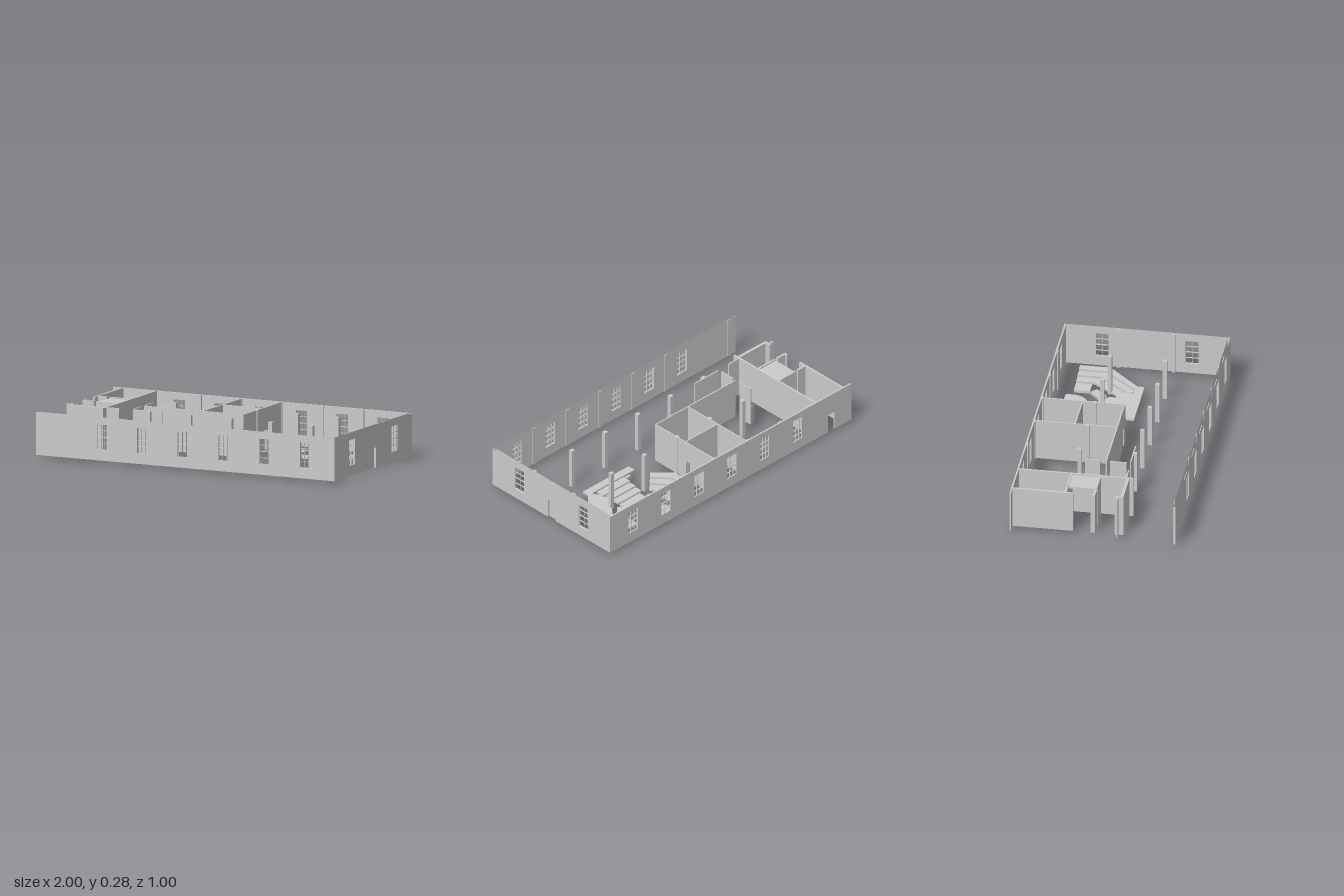
import * as THREE from 'three';

const BASE = 0.017, TOP = 0.275, DOOR = 0.14;
const mat = new THREE.MeshStandardMaterial({ color: 0xcccccc, side: THREE.DoubleSide, flatShading: true });

export function createModel() {
  const root = new THREE.Group();

  const add = (name, geo, parent = root) => {
    const m = new THREE.Mesh(geo, mat);
    m.name = name;
    parent.add(m);
    return m;
  };

  // Box given by its extents
  const box = (name, x0, x1, y0, y1, z0, z1, parent) =>
    add(name, new THREE.BoxGeometry(x1 - x0, y1 - y0, z1 - z0)
      .translate((x0 + x1) / 2, (y0 + y1) / 2, (z0 + z1) / 2), parent);

  // Wall along x or z; doors are notches [from, to], windows are holes [from, to, y0, y1]
  function wall(name, axis, at, from, to, thick, { doors = [], windows = [], openTop = false } = {}) {
    const s = new THREE.Shape();
    s.moveTo(from, BASE);
    for (const [a, b] of doors) {
      s.lineTo(a, BASE); s.lineTo(a, DOOR); s.lineTo(b, DOOR); s.lineTo(b, BASE);
    }
    s.lineTo(to, BASE); s.lineTo(to, TOP); s.lineTo(from, TOP); s.closePath();
    for (const [a, b, y0, y1] of windows) {
      const h = new THREE.Path();
      h.moveTo(a, y0); h.lineTo(a, y1); h.lineTo(b, y1); h.lineTo(b, y0); h.closePath();
      s.holes.push(h);
    }
    let geo = new THREE.ExtrudeGeometry(s, { depth: thick, bevelEnabled: false });
    geo.translate(0, 0, -thick / 2);
    if (openTop) {
      // leave the rim between inner and outer faces open
      const p = geo.attributes.position, keep = [];
      for (let i = 0; i < p.count; i += 3) {
        const rim = [0, 1, 2].every(k => p.getY(i + k) > TOP - 1e-4);
        if (!rim) for (let k = 0; k < 3; k++) keep.push(p.getX(i + k), p.getY(i + k), p.getZ(i + k));
      }
      geo = new THREE.BufferGeometry();
      geo.setAttribute('position', new THREE.Float32BufferAttribute(keep, 3));
      geo.computeVertexNormals();
    }
    if (axis === 'z') geo.rotateY(-Math.PI / 2).translate(at, 0, 0);
    else geo.translate(0, 0, at);
    return add(name, geo);
  }

  // Window frame with glazing bars
  const W = 0.08, WY0 = 0.08, WY1 = 0.235;
  function windowFrame(axis, at, c, cols) {
    const g = new THREE.Group();
    g.name = 'windowFrame';
    const rows = 4, d = 0.004;
    for (let i = 0; i <= cols; i++) {
      const t = i % cols === 0 ? 0.002 : 0.0011, u = -W / 2 + (W * i) / cols;
      box('verticalBar', u - t, u + t, WY0, WY1, -d, d, g);
    }
    for (let j = 0; j <= rows; j++) {
      const t = j % 2 === 0 ? 0.002 : 0.0011, y = WY0 + ((WY1 - WY0) * j) / rows;
      box('crossBar', -W / 2, W / 2, y - t, y + t, -d, d, g);
    }
    if (axis === 'z') { g.rotation.y = -Math.PI / 2; g.position.set(at, 0, c); }
    else g.position.set(c, 0, at);
    root.add(g);
  }
  const holes = cs => cs.map(c => [c - W / 2, c + W / 2, WY0, WY1]);

  // Outer walls
  const longWindows = [-0.555, -0.282, -0.01, 0.263, 0.536, 0.81], sideWindows = [-0.272, 0.272];
  wall('frontWall', 'x', 0.4925, -1, 1, 0.015, { windows: holes(longWindows), openTop: true });
  wall('backWall', 'x', -0.495, -1, 1, 0.01, { windows: holes(longWindows), doors: [[-0.86, -0.805]] });
  wall('sideWall', 'z', 0.9925, -0.5, 0.5, 0.015,
    { windows: holes(sideWindows), doors: [[-0.035, 0.027]], openTop: true });
  box('sideDoor', 0.983, 0.988, BASE, DOOR, -0.035, 0.027);
  for (const c of longWindows) {
    windowFrame('x', 0.491, c, 3);
    windowFrame('x', -0.495, c, 3);
  }
  for (const c of sideWindows) windowFrame('z', 0.991, c, 2);

  // Columns and wall pilasters
  const bays = [-0.417, -0.145, 0.127, 0.398, 0.672], r = 0.0125;
  for (const x of bays) {
    for (const z of [-0.173, 0.16]) box('column', x - r, x + r, BASE, TOP, z - r, z + r);
    box('backPilaster', x - r, x + r, BASE, TOP, -0.491, -0.483);
    box('frontPilaster', x - r, x + r, BASE, TOP, 0.481, 0.486);
  }
  box('frontPilaster', -0.952, -0.93, BASE, TOP, 0.481, 0.486);
  for (const z of [-0.173, 0.16]) box('sidePilaster', 0.975, 0.986, BASE, TOP, z - r, z + r);

  // Inner rooms
  const T = 0.008;
  wall('roomWall', 'z', 0.13, -0.49, 0.009, T, { doors: [[-0.29, -0.252]] });
  wall('roomWall', 'z', -0.138, -0.49, 0.009, T);
  wall('roomDivider', 'x', -0.247, -0.138, 0.13, T);
  wall('corridorWall', 'x', 0.006, -0.53, 0.13, T, { doors: [[0.035, 0.078]] });
  box('closedDoor', -0.49, -0.45, BASE, DOOR, 0.009, 0.012);
  wall('entryWall', 'z', -0.536, -0.122, -0.03, T);
  wall('entryWall', 'z', -0.536, 0.03, 0.13, T);
  wall('corridorWall', 'x', 0.151, -0.53, -0.335, T);
  wall('corridorWall', 'x', 0.156, -0.705, -0.62, T);

  // Open door leaves: hinge and free end
  for (const [x0, z0, x1, z1] of [[0.13, -0.252, 0.166, -0.286], [0.078, 0.004, 0.086, -0.035],
    [-0.536, -0.122, -0.58, -0.105], [-0.536, 0.03, -0.58, 0.052]]) {
    const leaf = add('doorLeaf', new THREE.BoxGeometry(Math.hypot(x1 - x0, z1 - z0), DOOR - BASE, 0.003));
    leaf.position.set((x0 + x1) / 2, (DOOR + BASE) / 2, (z0 + z1) / 2);
    leaf.rotation.y = -Math.atan2(z1 - z0, x1 - x0);
  }

  // Stair core at the open end
  wall('coreWall', 'z', -0.711, -0.49, 0.2, 0.012);
  wall('coreWall', 'z', -0.937, -0.49, -0.165, 0.014);
  wall('coreWall', 'z', -0.937, -0.165, -0.125, 0.012);
  wall('coreWall', 'x', -0.173, -0.937, -0.87, 0.014);
  wall('coreWall', 'x', -0.173, -0.855, -0.711, 0.012);
  wall('coreWall', 'x', 0.0, -0.937, -0.87, 0.014);
  wall('coreWall', 'x', 0.0, -0.855, -0.711, 0.012);
  wall('coreWall', 'z', -0.937, -0.02, 0.007, 0.014);
  wall('coreWall', 'z', -0.937, 0.125, 0.175, 0.014);
  wall('coreWall', 'x', 0.167, -0.937, -0.711, 0.018);
  wall('coreWall', 'x', 0.143, -0.978, -0.937, 0.01);
  box('coreSlab', -0.855, -0.711, 0.255, 0.267, -0.173, 0);

  // Flat slab from plan points [x, z]
  function slab(name, pts, y0, y1) {
    const s = new THREE.Shape(pts.map(([x, z]) => new THREE.Vector2(x, -z)));
    const geo = new THREE.ExtrudeGeometry(s, { depth: y1 - y0, bevelEnabled: false });
    add(name, geo.rotateX(-Math.PI / 2).translate(0, y0, 0));
  }

  // Bent seating tiers, outer rows higher: bounds are lines [x, bend z, end x, end z]
  function tiers(lines) {
    for (let i = 0; i < lines.length - 1; i++) {
      const [x0, b0, e0, f0] = lines[i], [x1, b1, e1, f1] = lines[i + 1];
      const y = 0.058 - 0.013 * i;
      slab('seatingTier', [[x0, -0.39], [x0, b0], [e0, f0], [e1, f1], [x1, b1], [x1, -0.39]], y - 0.013, y);
    }
  }
  tiers([[0.18, -0.21, 0.285, -0.105], [0.228, -0.235, 0.318, -0.138],
    [0.274, -0.26, 0.35, -0.168], [0.32, -0.293, 0.385, -0.2]]);
  tiers([[0.9, -0.205, 0.705, -0.008], [0.853, -0.225, 0.672, -0.018],
    [0.807, -0.245, 0.64, -0.055], [0.755, -0.28, 0.61, -0.095]]);
  box('innerTier', 0.32, 0.368, 0.008, 0.019, -0.39, -0.293);
  box('innerTier', 0.67, 0.755, 0.003, 0.019, -0.39, -0.293);
  slab('innerTier', [[0.60, -0.222], [0.668, -0.29], [0.706, -0.255], [0.638, -0.185]], 0, 0.018);

  // Central tiers, rising away from the stage: x0, x1, z0, z1
  [[0.438, 0.605, -0.227, -0.175], [0.422, 0.612, -0.175, -0.125], [0.422, 0.617, -0.125, -0.075],
    [0.42, 0.64, -0.075, -0.02], [0.33, 0.71, -0.02, 0.03]].forEach(([x0, x1, z0, z1], i) =>
    box('centralTier', x0, x1, 0.005 + 0.01 * i, 0.018 + 0.01 * i, z0, z1));
  box('tierStep', 0.375, 0.42, 0.03, 0.045, -0.035, -0.02);

  // Stage with a round front
  const stage = [[0.615, -0.43], [0.415, -0.43]];
  for (let i = 0; i <= 20; i++) {
    const a = Math.PI * (1 - i / 20);
    stage.push([0.515 + 0.1 * Math.cos(a), -0.383 + 0.1 * Math.sin(a)]);
  }
  slab('stage', stage, 0.006, 0.022);

  return root;
}
